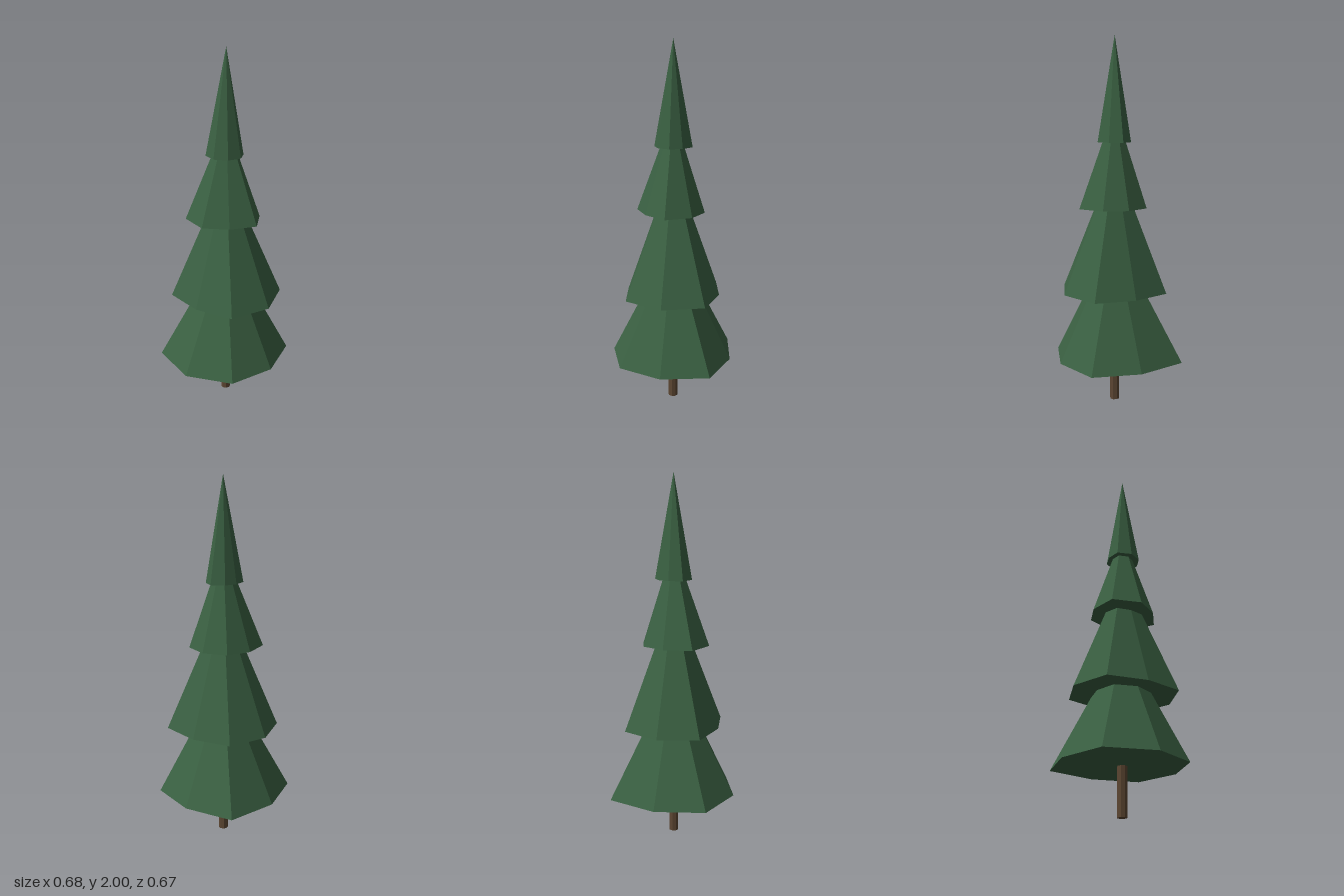
import * as THREE from 'three';

const AXIS_X = 0.009, AXIS_Z = 0.005;

// Eight-sided cone whose base corners each have their own radius,
// listed from +z round through +x.
function irregularCone(radii, baseY, apexY) {
  const geometry = new THREE.ConeGeometry(1, apexY - baseY, 8, 1);
  geometry.translate(0, (baseY + apexY) / 2, 0);
  const pos = geometry.attributes.position;
  for (let i = 0; i < pos.count; i++) {
    const x = pos.getX(i), z = pos.getZ(i);
    if (Math.hypot(x, z) < 0.01) continue; // apex and base centre stay on the axis
    const corner = (Math.round(Math.atan2(x, z) / (Math.PI / 4)) + 8) % 8;
    pos.setX(i, x * radii[corner]);
    pos.setZ(i, z * radii[corner]);
  }
  geometry.computeVertexNormals();
  return geometry;
}

export function createModel() {
  const model = new THREE.Group();
  model.name = 'pineTree';

  const needles = new THREE.MeshStandardMaterial({ color: 0x3a6042, flatShading: true });
  needles.name = 'needleGreen';
  const bark = new THREE.MeshStandardMaterial({ color: 0x5c4632, flatShading: true });
  bark.name = 'barkBrown';

  // Trunk
  const trunk = new THREE.Mesh(new THREE.CylinderGeometry(0.027, 0.027, 0.3, 8), bark);
  trunk.name = 'trunk';
  trunk.position.set(AXIS_X, 0.15, AXIS_Z);
  model.add(trunk);

  // Foliage tiers, bottom to top
  const tiers = [
    { base: 0.255, apex: 0.94, radii: [0.326, 0.361, 0.326, 0.387, 0.34, 0.376, 0.35, 0.346] },
    { base: 0.635, apex: 1.36, radii: [0.299, 0.31, 0.259, 0.295, 0.288, 0.305, 0.257, 0.302] },
    { base: 1.095, apex: 1.63, radii: [0.208, 0.184, 0.174, 0.181, 0.181, 0.218, 0.201, 0.174] },
    { base: 1.445, apex: 2.0, radii: [0.098, 0.092, 0.105, 0.092, 0.089, 0.108, 0.103, 0.097] },
  ];
  tiers.forEach(({ base, apex, radii }, i) => {
    const tier = new THREE.Mesh(irregularCone(radii, base, apex), needles);
    tier.name = `foliageTier${i + 1}`;
    tier.position.set(AXIS_X, 0, AXIS_Z);
    model.add(tier);
  });

  return model;
}
